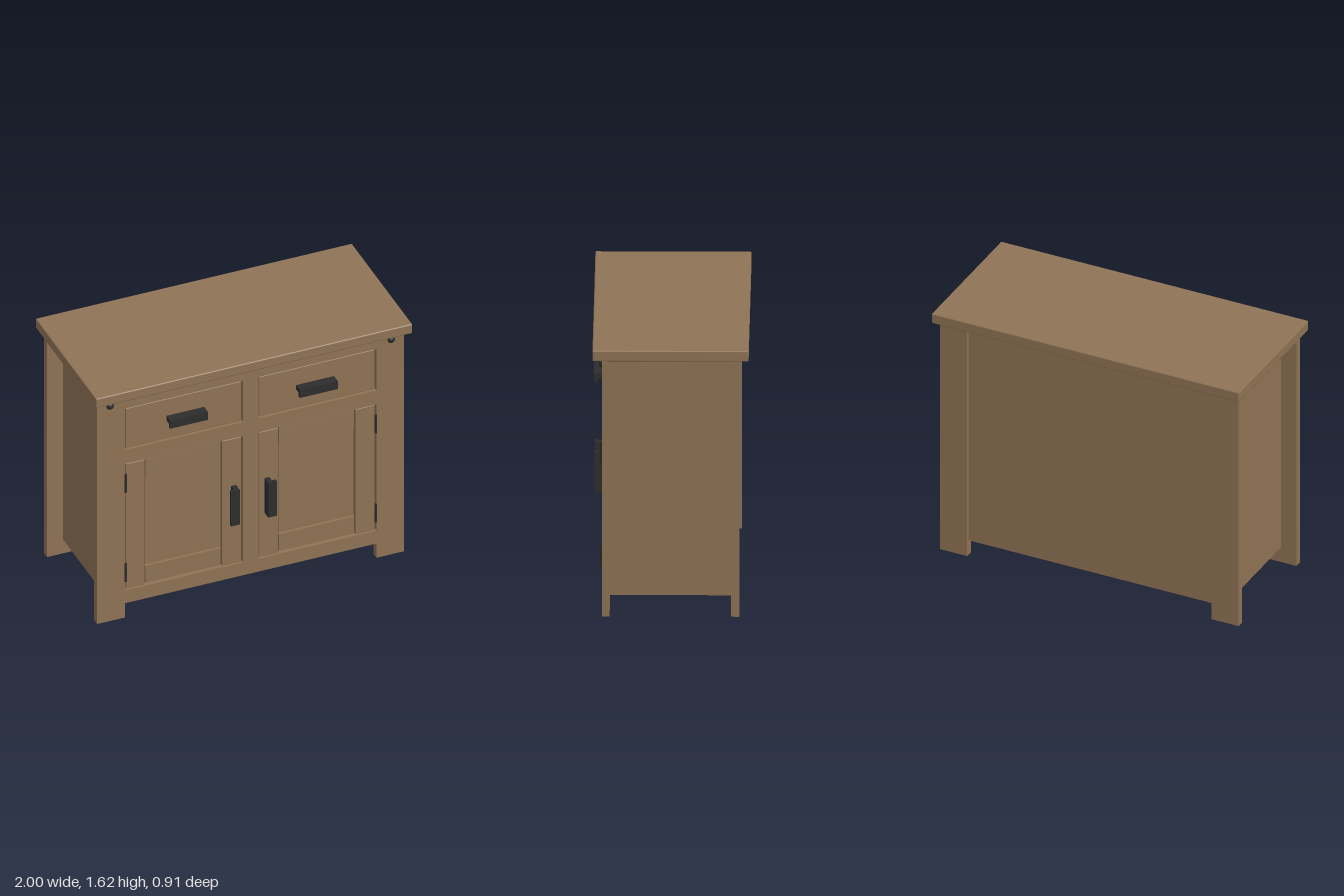
import * as THREE from 'three';
import { RoundedBoxGeometry } from 'three/addons/geometries/RoundedBoxGeometry.js';

const wood = new THREE.MeshStandardMaterial({ color: 0x8f7355 });
wood.name = 'oak brown';
const iron = new THREE.MeshStandardMaterial({ color: 0x2d2d2e });
iron.name = 'dark iron';

// Box given by its limits on each axis
function slab(parent, name, [x0, x1], [y0, y1], [z0, z1], material = wood, bevel = 0) {
  const size = [x1 - x0, y1 - y0, z1 - z0];
  const geometry = bevel
    ? new RoundedBoxGeometry(...size, 1, bevel)
    : new THREE.BoxGeometry(...size);
  const mesh = new THREE.Mesh(geometry, material);
  mesh.name = name;
  mesh.position.set((x0 + x1) / 2, (y0 + y1) / 2, (z0 + z1) / 2);
  parent.add(mesh);
  return mesh;
}

// Limits mirrored across x = 0 when s is -1
const side = (s, a, b) => (s > 0 ? [a, b] : [-b, -a]);

// Drawer front with an L-shaped pull, lip hanging down
function addDrawer(parent, s) {
  const drawer = new THREE.Group();
  drawer.name = 'drawer';
  slab(drawer, 'drawerFront', side(s, 0.055, 0.787), [1.185, 1.463], [0.36, 0.392], wood, 0.004);
  slab(drawer, 'drawerHandleArm', side(s, 0.29, 0.53), [1.315, 1.345], [0.39, 0.43], iron);
  slab(drawer, 'drawerHandleLip', side(s, 0.29, 0.53), [1.29, 1.345], [0.43, 0.45], iron);
  parent.add(drawer);
}

// Framed door with a sunk panel, L-shaped pull and two hinges
function addDoor(parent, s) {
  const door = new THREE.Group();
  door.name = 'door';
  slab(door, 'innerStile', side(s, 0.055, 0.178), [0.195, 1.073], [0.36, 0.392], wood, 0.004);
  slab(door, 'outerStile', side(s, 0.665, 0.787), [0.195, 1.073], [0.36, 0.392], wood, 0.004);
  slab(door, 'upperRail', side(s, 0.184, 0.659), [0.95, 1.068], [0.36, 0.386]);
  slab(door, 'lowerRail', side(s, 0.184, 0.659), [0.2, 0.317], [0.36, 0.386]);
  slab(door, 'doorPanel', side(s, 0.184, 0.659), [0.325, 0.945], [0.36, 0.377]);
  slab(door, 'doorHandleArm', side(s, 0.09, 0.12), [0.5, 0.743], [0.39, 0.43], iron);
  slab(door, 'doorHandleLip', side(s, 0.09, 0.145), [0.5, 0.743], [0.43, 0.45], iron);
  for (const y of [0.317, 0.945]) {
    const hinge = new THREE.Mesh(new THREE.CylinderGeometry(0.008, 0.008, 0.127, 12), iron);
    hinge.name = 'hinge';
    hinge.position.set(s * 0.791, y, 0.4);
    door.add(hinge);
  }
  parent.add(door);
}

export function createModel() {
  const cabinet = new THREE.Group();
  cabinet.name = 'sideboard';

  slab(cabinet, 'top', [-1, 1], [1.56, 1.625], [-0.455, 0.455], wood, 0.007);

  // Carcass, open beneath with a slightly raised floor
  slab(cabinet, 'floor', [-0.83, 0.83], [0.115, 0.15], [-0.36, 0.35]);
  slab(cabinet, 'backPanel', [-0.8, 0.8], [0.1, 1.56], [-0.385, -0.35]);
  slab(cabinet, 'frontBacking', [-0.8, 0.8], [0.15, 1.56], [0.345, 0.367]);

  // Front frame
  slab(cabinet, 'topRail', [-0.795, 0.795], [1.47, 1.56], [0.355, 0.4]);
  slab(cabinet, 'middleRail', [-0.795, 0.795], [1.08, 1.178], [0.355, 0.4]);
  slab(cabinet, 'bottomRail', [-0.795, 0.795], [0.1, 0.19], [0.35, 0.4]);
  slab(cabinet, 'upperCentreStile', [-0.048, 0.048], [1.178, 1.47], [0.355, 0.4]);
  slab(cabinet, 'lowerCentreStile', [-0.048, 0.048], [0.19, 1.08], [0.355, 0.4]);

  for (const s of [1, -1]) {
    slab(cabinet, 'sidePanel', side(s, 0.83, 0.87), [0.1, 1.56], [-0.352, 0.355]);
    slab(cabinet, 'frontLeg', side(s, 0.795, 0.97), [0, 1.56], [0.355, 0.4]);
    slab(cabinet, 'backLeg', side(s, 0.795, 0.97), [0, 1.56], [-0.4, -0.352]);

    // Domed bolt near the top of the front leg
    const bolt = new THREE.Mesh(
      new THREE.SphereGeometry(0.023, 20, 10, 0, Math.PI * 2, 0, Math.PI / 2), iron);
    bolt.name = 'bolt';
    bolt.rotation.x = Math.PI / 2;
    bolt.scale.y = 0.75;
    bolt.position.set(s * 0.888, 1.513, 0.399);
    cabinet.add(bolt);

    addDrawer(cabinet, s);
    addDoor(cabinet, s);
  }
  return cabinet;
}
